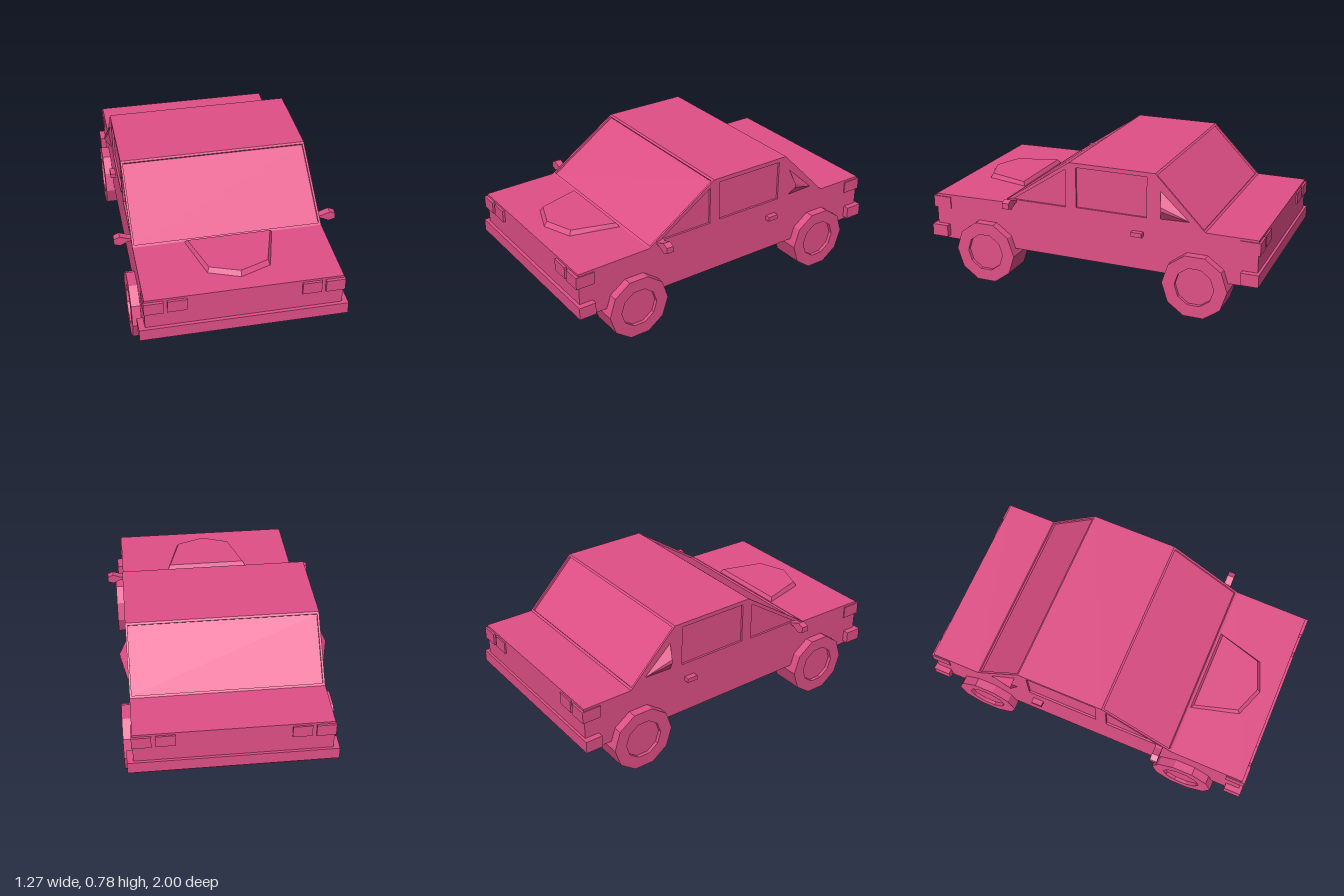
import * as THREE from 'three';
import { ConvexGeometry } from 'three/addons/geometries/ConvexGeometry.js';

const paint = new THREE.MeshStandardMaterial({ color: 0xe04f86, flatShading: true });
const thinPaint = new THREE.MeshStandardMaterial({ color: 0xe04f86, flatShading: true, side: THREE.DoubleSide });

const HALF = 0.54; // half width of the body
const SKIN = 0.012; // thickness of the side panels
const SIDES = [1, -1];

function add(parent, name, geometry, material = paint) {
  const mesh = new THREE.Mesh(geometry, material);
  mesh.name = name;
  parent.add(mesh);
  return mesh;
}

function box(parent, name, x0, x1, y0, y1, z0, z1) {
  const mesh = add(parent, name, new THREE.BoxGeometry(Math.abs(x1 - x0), y1 - y0, Math.abs(z1 - z0)));
  mesh.position.set((x0 + x1) / 2, (y0 + y1) / 2, (z0 + z1) / 2);
  return mesh;
}

const toPoints = (list) => list.map(([a, b]) => new THREE.Vector2(a, b));

// Extrudes a (z, y) side outline across x, centred on x = 0
function sideExtrude(outline, width, holes = []) {
  const shape = new THREE.Shape(toPoints(outline));
  holes.forEach((h) => shape.holes.push(new THREE.Path(toPoints(h))));
  const g = new THREE.ExtrudeGeometry(shape, { depth: width, bevelEnabled: false });
  return g.translate(0, 0, -width / 2).rotateY(-Math.PI / 2);
}

// Points of a sloped edge with a shallow window recess along it
function recessedEdge(a, b, margin, depth) {
  const A = new THREE.Vector2(...a), B = new THREE.Vector2(...b);
  const dir = B.clone().sub(A).normalize();
  const inward = new THREE.Vector2(-dir.y, dir.x).multiplyScalar(depth);
  const p = A.clone().addScaledVector(dir, margin);
  const q = B.clone().addScaledVector(dir, -margin);
  return [A, p, p.clone().add(inward), q.clone().add(inward), q, B].map((v) => [v.x, v.y]);
}

function buildBody(car) {
  const cowl = [0.54, 0.495], roofFront = [0.11, 0.785];
  const roofBack = [-0.4, 0.785], deck = [-0.69, 0.488];
  const nose = [[0.98, 0.215], [0.98, 0.488]];
  const tail = [[-0.985, 0.488], [-0.985, 0.215]];

  // Centre shell with sunken windscreen and rear window
  const core = [
    ...nose,
    ...recessedEdge(cowl, roofFront, 0.014, 0.012),
    ...recessedEdge(roofBack, deck, 0.014, 0.012),
    ...tail,
  ];
  add(car, 'bodyShell', sideExtrude(core, 2 * (HALF - SKIN)));

  // Side panels with window openings
  const outline = [...nose, cowl, roofFront, roofBack, deck, ...tail];
  const doorWindow = [[0.07, 0.525], [0.07, 0.76], [-0.352, 0.76], [-0.352, 0.525]];
  const quarterWindow = [[0.47, 0.52], [0.135, 0.52], [0.135, 0.742]];
  for (const s of SIDES) {
    const panel = add(car, 'sidePanel', sideExtrude(outline, SKIN, [doorWindow, quarterWindow]));
    panel.position.x = s * (HALF - SKIN / 2);
  }
}

// Raised scoop with sloping edges on the bonnet
function buildHoodScoop(car) {
  const base = [[0.255, 0.54], [0.175, 0.825], [0, 0.89]];
  const top = [[0.235, 0.56], [0.162, 0.808], [0, 0.868]];
  const points = [];
  for (const s of SIDES) {
    base.forEach(([x, z]) => points.push(new THREE.Vector3(s * x, 0.485, z)));
    top.forEach(([x, z]) => points.push(new THREE.Vector3(s * x, 0.518, z)));
  }
  add(car, 'hoodScoop', new ConvexGeometry(points));
}

// Wheel turned from a ten sided profile, with a sunken hub
function wheelGeometry() {
  const profile = toPoints([
    [0, -0.095], [0.187, -0.095], [0.187, 0.095], [0.113, 0.095], [0.113, 0.075], [0, 0.075],
  ]);
  return new THREE.LatheGeometry(profile, 10).rotateZ(-Math.PI / 2);
}

function buildWheels(car) {
  const geometry = wheelGeometry();
  for (const z of [0.64, -0.648]) {
    for (const s of SIDES) {
      const wheel = add(car, z > 0 ? 'frontWheel' : 'rearWheel', geometry);
      wheel.position.set(s * 0.495, 0.181, z);
      wheel.rotation.y = s > 0 ? 0 : Math.PI;
    }
  }
}

// Bumpers and lamps, the same at both ends
function buildEnds(car) {
  for (const e of SIDES) {
    const end = e > 0 ? 'front' : 'rear';
    box(car, end + 'Bumper', -0.574, 0.574, 0.233, 0.304, e * 0.9, e * 1.0);
    for (const s of SIDES) {
      box(car, end + 'OuterLamp', s * 0.44, s * 0.546, 0.404, 0.475, e * 0.885, e * 0.997);
      box(car, end + 'InnerLamp', s * 0.312, s * 0.418, 0.404, 0.475, e * 0.95, e * 0.994);
    }
  }
}

// Air intake on the rear pillar: two sloping faces, open to the front
function intakeGeometry(s) {
  const upper = [s * HALF, 0.69, -0.432], lower = [s * HALF, 0.53, -0.432];
  const back = [s * HALF, 0.535, -0.6];
  const tipUp = [s * 0.58, 0.612, -0.447], tipLow = [s * 0.58, 0.588, -0.447];
  const faces = [[upper, tipUp, back], [tipUp, tipLow, back], [tipLow, lower, back]];
  const g = new THREE.BufferGeometry();
  const order = (f) => (s > 0 ? f : [f[0], f[2], f[1]]);
  g.setAttribute('position', new THREE.Float32BufferAttribute(faces.flatMap((f) => order(f).flat()), 3));
  g.computeVertexNormals();
  return g;
}

function buildSideDetails(car) {
  const mirrorOutline = [
    [0.53, 0.503], [0.555, 0.503], [0.602, 0.48], [0.636, 0.492],
    [0.636, 0.526], [0.602, 0.54], [0.555, 0.522], [0.53, 0.522],
  ];
  for (const s of SIDES) {
    const shape = new THREE.Shape(toPoints(mirrorOutline.map(([x, y]) => [s * x, y])));
    const mirror = add(car, 'wingMirror', new THREE.ExtrudeGeometry(shape, { depth: 0.042, bevelEnabled: false }));
    mirror.position.z = 0.447;
    box(car, 'doorHandle', s * 0.53, s * 0.571, 0.414, 0.44, -0.27, -0.334);
    add(car, 'pillarIntake', intakeGeometry(s), thinPaint);
  }
}

export function createModel() {
  const car = new THREE.Group();
  car.name = 'car';
  buildBody(car);
  buildHoodScoop(car);
  buildWheels(car);
  buildEnds(car);
  buildSideDetails(car);
  return car;
}
